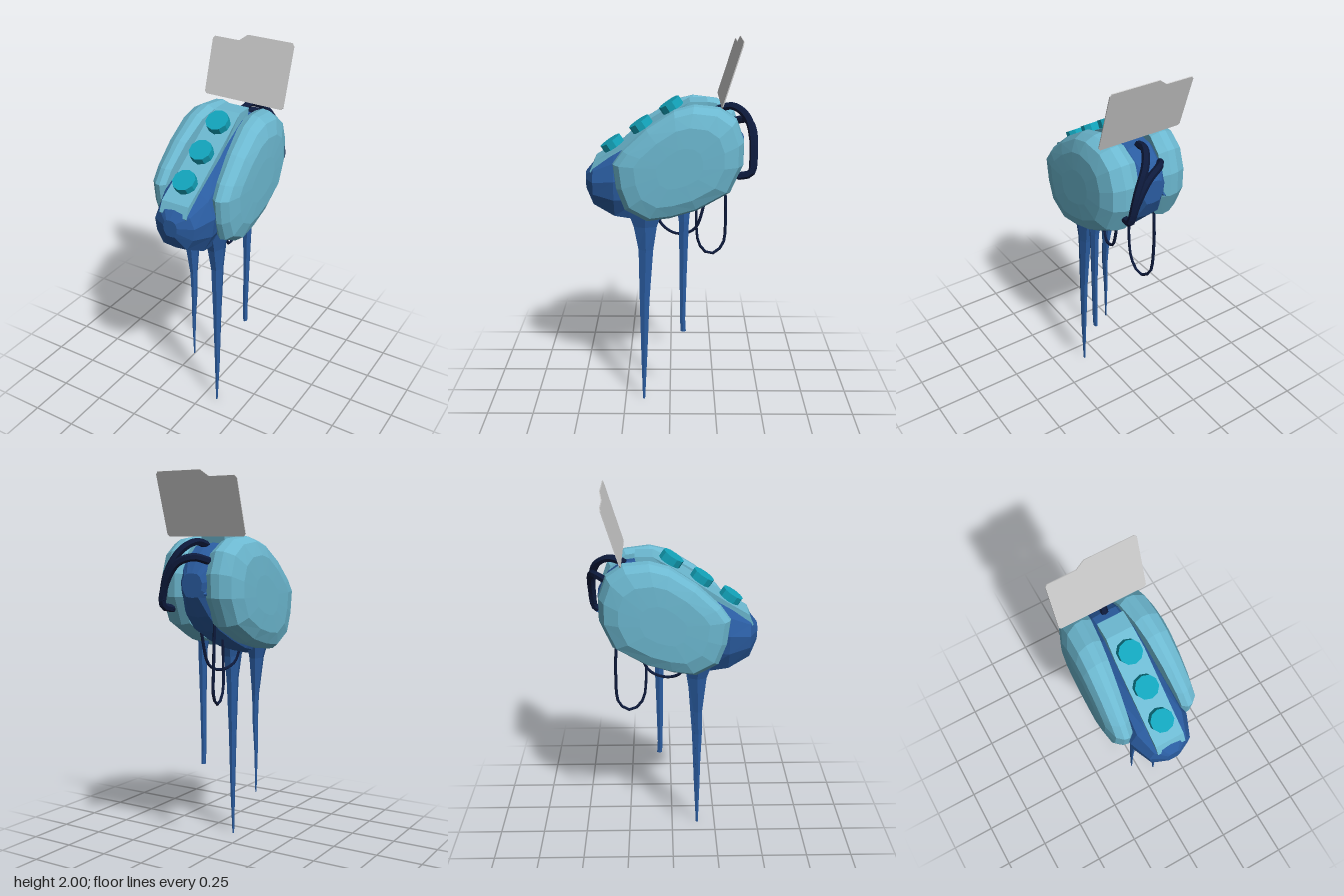
import * as THREE from 'three';

const mat = (color) => new THREE.MeshStandardMaterial({ color, flatShading: true });
const shellMat = mat(0x6cb8d0), bodyMat = mat(0x2a5ca0), buttonMat = mat(0x12a3ba);
const cableMat = mat(0x0d1a3c), panelMat = mat(0xcccccc);
panelMat.side = THREE.DoubleSide;

function add(group, name, geometry, material) {
  const mesh = new THREE.Mesh(geometry, material);
  mesh.name = name;
  group.add(mesh);
  return mesh;
}

// Closed skin over rings of [x, y, z] points, capped at both ends and turned outward
function loft(rings) {
  const n = rings[0].length, tris = [];
  const mid = (r) => [0, 1, 2].map((k) => r.reduce((s, p) => s + p[k], 0) / n);
  const first = rings[0], last = rings[rings.length - 1];
  const c0 = mid(first), c1 = mid(last);
  for (let j = 0; j < n; j++) {
    const k = (j + 1) % n;
    tris.push([c0, first[k], first[j]], [c1, last[j], last[k]]);
    for (let i = 0; i < rings.length - 1; i++) {
      const a = rings[i], b = rings[i + 1];
      tris.push([a[j], a[k], b[k]], [a[j], b[k], b[j]]);
    }
  }
  let volume = 0;
  for (const [a, b, c] of tris) {
    volume += a[0] * (b[1] * c[2] - b[2] * c[1]) + a[1] * (b[2] * c[0] - b[0] * c[2])
      + a[2] * (b[0] * c[1] - b[1] * c[0]);
  }
  if (volume < 0) tris.forEach((t) => t.reverse());
  const geometry = new THREE.BufferGeometry();
  geometry.setAttribute('position', new THREE.Float32BufferAttribute(tris.flat(2), 3));
  geometry.computeVertexNormals();
  return geometry;
}

// Thin tapering leg from [x, y, z, radiusX, radiusZ] sections
function leg(group, name, sections, sides = 6) {
  add(group, name, loft(sections.map(([x, y, z, rx, rz]) =>
    Array.from({ length: sides }, (_, i) => {
      const a = (i / sides) * Math.PI * 2;
      return [x + rx * Math.cos(a), y, z + rz * Math.sin(a)];
    }))), bodyMat);
}

function cable(group, name, points, radius) {
  const curve = new THREE.CatmullRomCurve3(points.map((p) => new THREE.Vector3(...p)));
  add(group, name, new THREE.TubeGeometry(curve, 20, radius, 6), cableMat);
  for (const p of [points[0], points[points.length - 1]]) {
    add(group, name + 'End', new THREE.IcosahedronGeometry(radius * 1.05, 0), cableMat).position.set(...p);
  }
}

export function createModel() {
  const model = new THREE.Group();

  // Central body: faceted sections from front to back [z, bottom, top, half width]
  const half = [[0.6, 0.03], [0.92, 0.32], [1, 0.62], [0.78, 0.88], [0.5, 0.98]];
  const section = [[0, 0], ...half, [0, 1], ...half.map(([x, y]) => [-x, y]).reverse()];
  const bodyRings = [
    [0.44, 1.22, 1.31, 0.04], [0.4, 1.14, 1.355, 0.115], [0.29, 1.08, 1.42, 0.16],
    [0.14, 1.05, 1.51, 0.15], [0, 1.08, 1.6, 0.135], [-0.12, 1.13, 1.66, 0.13],
    [-0.25, 1.2, 1.64, 0.125], [-0.33, 1.28, 1.58, 0.11], [-0.38, 1.38, 1.5, 0.06],
  ].map(([z, lo, hi, w]) => section.map(([x, y]) => [x * w, lo + y * (hi - lo), z]));
  add(model, 'body', loft(bodyRings), bodyMat);

  // Domed side shells: one outline in (z, y), shrunk outward in steps
  const outline = [
    [0.29, 1.39], [0.24, 1.46], [0.12, 1.57], [-0.02, 1.66], [-0.12, 1.685], [-0.25, 1.67], [-0.335, 1.61],
    [-0.375, 1.5], [-0.375, 1.38], [-0.31, 1.235], [-0.14, 1.14], [0.0, 1.1], [0.12, 1.085], [0.235, 1.15],
    [0.275, 1.26],
  ];
  const cz = -0.05, cy = 1.38;
  const inner = (z) => 0.105 + 0.11 * z;
  const steps = [[0.94, 0], [1, 0.25], [0.985, 0.5], [0.9, 0.8], [0.68, 0.97], [0.35, 1]];
  for (const side of [1, -1]) {
    const rings = steps.map(([s, t]) => outline.map(([z, y]) => {
      const x = inner(z) + (0.242 - inner(z)) * t;
      return [side * x, cy + (y - cy) * s, cz + (z - cz) * s];
    }));
    add(model, side > 0 ? 'leftShell' : 'rightShell', loft(rings), shellMat);
  }

  // Sloping strip down the middle
  const stripProfile = [
    [0.415, 1.325], [0.39, 1.38], [0.29, 1.44], [0, 1.63], [-0.1, 1.685], [-0.19, 1.685],
    [-0.17, 1.58], [0, 1.54], [0.29, 1.35], [0.39, 1.28],
  ];
  add(model, 'strip', loft([-1, 1].map((s) => stripProfile.map(([z, y]) =>
    [s * (0.077 - (z < -0.05 ? 0.007 : 0)), y, z]))), shellMat);

  // Three round buttons
  const tilt = 0.58;
  for (const [z, y] of [[0.3, 1.455], [0.15, 1.555], [-0.005, 1.655]]) {
    const button = add(model, 'button', new THREE.CylinderGeometry(0.06, 0.06, 0.045, 10), buttonMat);
    button.position.set(0, y, z);
    button.rotation.x = tilt;
  }

  // Spindly legs of different lengths
  leg(model, 'longLeg', [
    [0.075, 1.16, 0.13, 0.07, 0.12], [0.077, 1.03, 0.13, 0.04, 0.07], [0.078, 0.9, 0.128, 0.03, 0.045],
    [0.083, 0.6, 0.138, 0.02, 0.03], [0.086, 0.25, 0.143, 0.012, 0.018], [0.085, 0, 0.147, 0.004, 0.007],
  ]);
  leg(model, 'middleLeg', [
    [-0.085, 1.16, 0.13, 0.06, 0.1], [-0.075, 1.03, 0.13, 0.035, 0.055], [-0.066, 0.82, 0.135, 0.017, 0.026],
    [-0.062, 0.68, 0.14, 0.013, 0.022], [-0.068, 0.5, 0.14, 0.008, 0.014], [-0.068, 0.27, 0.14, 0.003, 0.005],
  ]);
  leg(model, 'rearLeg', [
    [0.125, 1.22, -0.07, 0.04, 0.05], [0.142, 1.08, -0.072, 0.024, 0.03], [0.142, 0.8, -0.07, 0.016, 0.022],
    [0.141, 0.52, -0.068, 0.013, 0.016], [0.141, 0.45, -0.072, 0.011, 0.016],
  ]);

  // Heavy cables over the back
  cable(model, 'sideCable', [[-0.07, 1.56, -0.33], [-0.02, 1.58, -0.39], [0.06, 1.55, -0.42],
    [0.13, 1.44, -0.425], [0.155, 1.34, -0.41], [0.14, 1.32, -0.35]], 0.02);
  cable(model, 'topCable', [[0, 1.64, -0.25], [0.015, 1.655, -0.32], [0.06, 1.61, -0.39],
    [0.12, 1.5, -0.42], [0.15, 1.37, -0.42]], 0.02);

  // Thin cables hanging underneath
  cable(model, 'longLoop', [[-0.03, 1.24, -0.15], [-0.03, 1.05, -0.14], [-0.04, 0.88, -0.16], [-0.05, 0.825, -0.22],
    [-0.065, 0.87, -0.285], [-0.075, 1.05, -0.3], [-0.075, 1.26, -0.29]], 0.008);
  cable(model, 'shortLoop', [[0, 1.09, 0.08], [0.01, 1.01, 0.04], [0.045, 0.975, -0.04],
    [0.065, 1.01, -0.13], [0.075, 1.2, -0.19]], 0.008);

  // Small spike on the rear
  const spike = add(model, 'rearSpike', new THREE.ConeGeometry(0.035, 0.1, 5), bodyMat);
  spike.position.set(-0.07, 1.4, -0.34);
  spike.rotation.x = -Math.PI / 2;

  // Thin tab panel leaning back over the top
  const tab = new THREE.Shape([
    [-0.235, 0.012], [-0.225, 0], [0.22, 0], [0.231, 0.012], [0.231, 0.32], [0.22, 0.335],
    [-0.035, 0.335], [-0.08, 0.3], [-0.225, 0.3], [-0.235, 0.288],
  ].map((p) => new THREE.Vector2(...p)));
  const panel = add(model, 'tabPanel',
    new THREE.ExtrudeGeometry(tab, { depth: 0.005, bevelEnabled: false }), panelMat);
  panel.position.set(0, 1.68, -0.257);
  panel.rotation.x = -0.3;

  return model;
}
